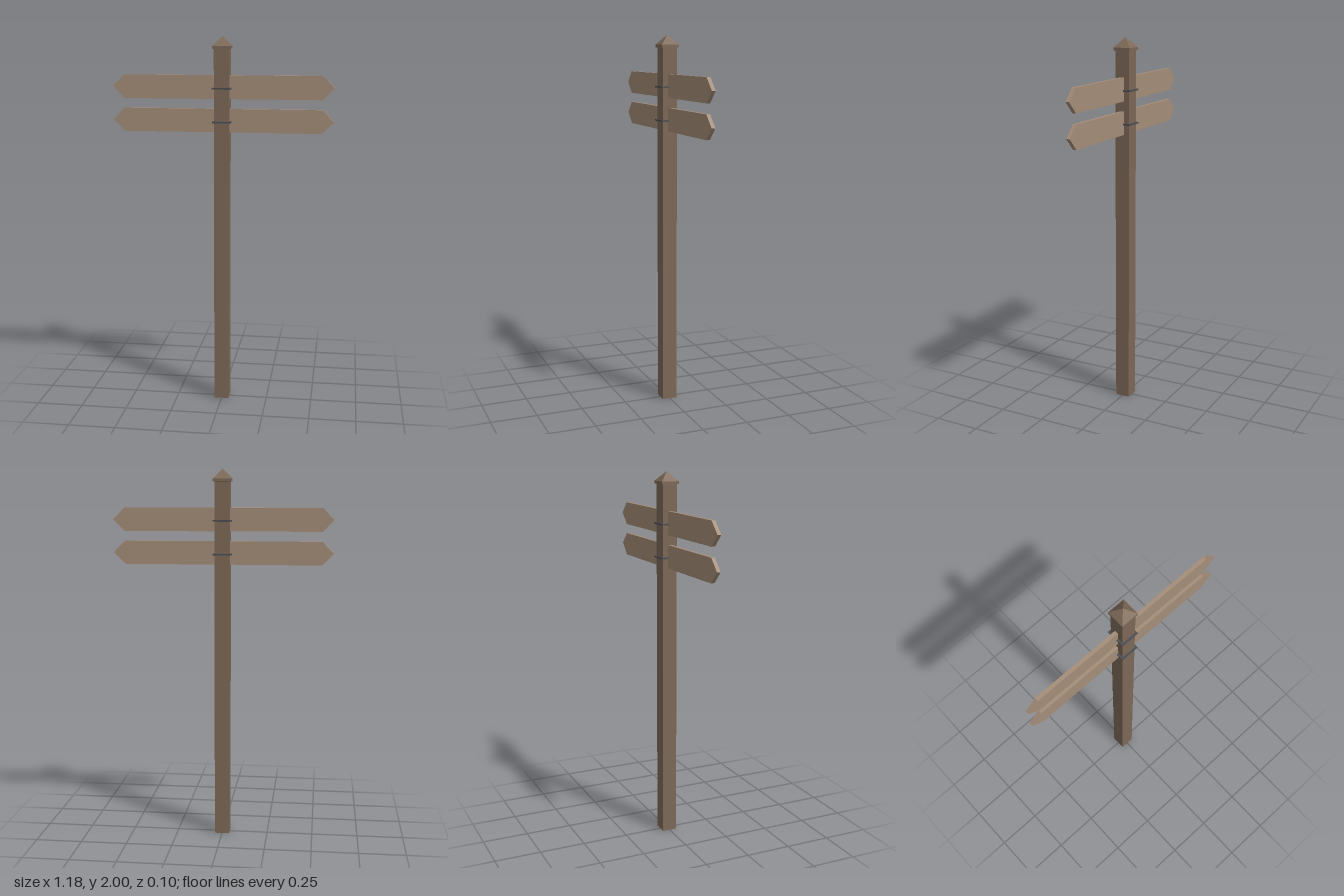
import * as THREE from 'three';

function material(name, color) {
  const m = new THREE.MeshStandardMaterial({ color });
  m.name = name;
  return m;
}

export function createModel() {
  const group = new THREE.Group();
  group.name = 'signpost';
  const darkWood = material('dark wood', 0x7d6957);
  const lightWood = material('light wood', 0xa48d78);
  const iron = material('iron', 0x4a4d52);

  function add(name, geometry, mat, y) {
    const mesh = new THREE.Mesh(geometry, mat);
    mesh.name = name;
    mesh.position.y = y;
    group.add(mesh);
  }

  // Square post with a rimmed pyramid cap
  add('post', new THREE.BoxGeometry(0.08, 1.94, 0.08), darkWood, 0.97);
  add('capRim', new THREE.BoxGeometry(0.095, 0.015, 0.095), darkWood, 1.9425);
  const roof = new THREE.ConeGeometry(0.0475 * Math.SQRT2, 0.05, 4, 1, true)
    .rotateY(Math.PI / 4).toNonIndexed();
  roof.computeVertexNormals();
  add('capRoof', roof, darkWood, 1.975);

  // Sign board, pointed at both ends
  const outline = new THREE.Shape([
    [-0.59, 0], [-0.528, -0.062], [0.528, -0.062],
    [0.59, 0], [0.528, 0.062], [-0.528, 0.062],
  ].map(([x, y]) => new THREE.Vector2(x, y)));
  const board = new THREE.ExtrudeGeometry(outline, { depth: 0.02, bevelEnabled: false })
    .translate(0, 0, -0.01);

  // Two boards through the post, each with an iron band around it
  for (const [level, y] of [['upper', 1.736], ['lower', 1.56]]) {
    add(level + 'Board', board, lightWood, y);
    add(level + 'Band', new THREE.BoxGeometry(0.099, 0.008, 0.099), iron, y - 0.006);
  }
  return group;
}
